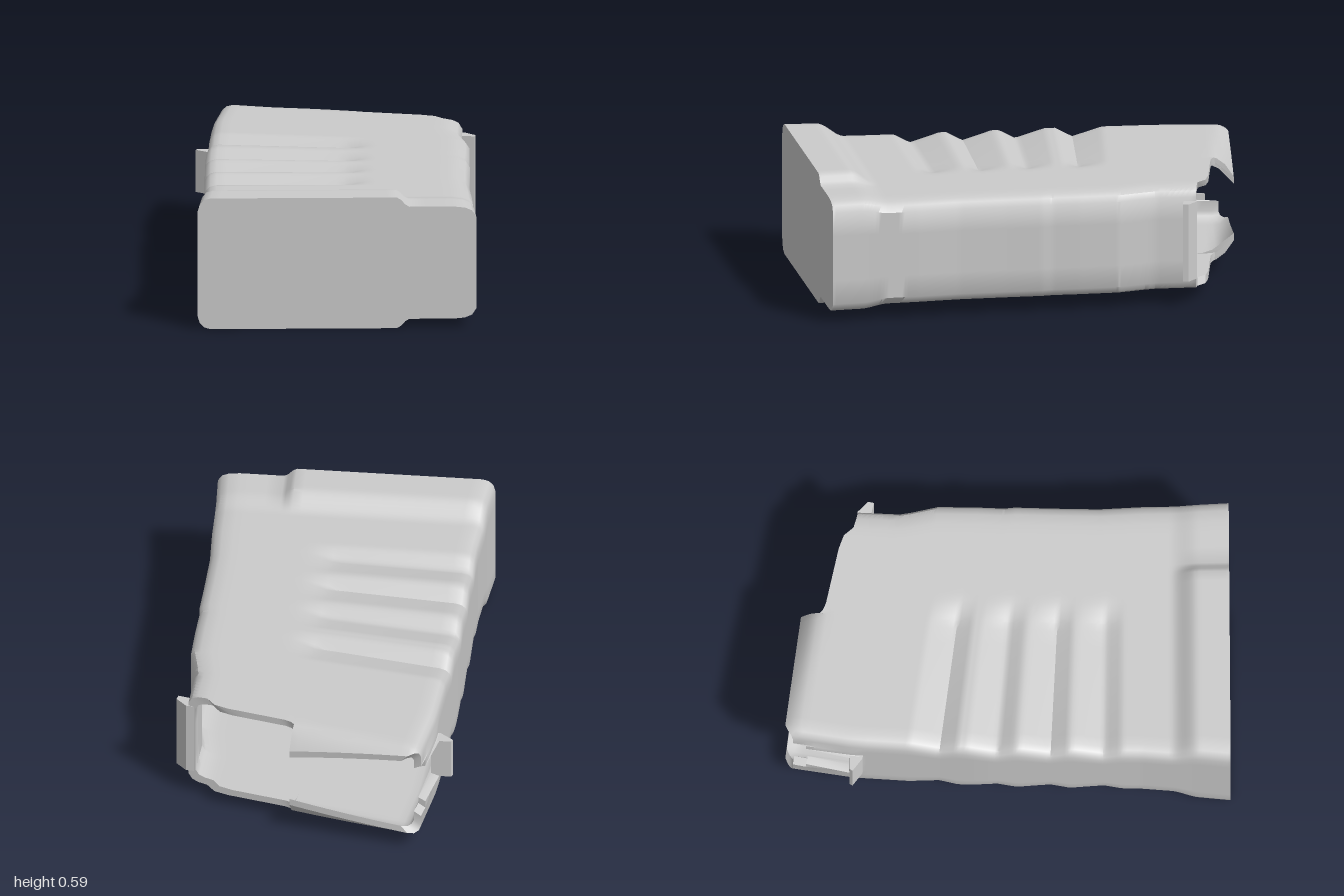
import * as THREE from 'three';
import { toCreasedNormals } from 'three/addons/utils/BufferGeometryUtils.js';

const MID = 0.295; // height of the mirror plane between upper and lower half
const lerp = THREE.MathUtils.lerp;
const smooth = THREE.MathUtils.smoothstep;

// Each row: z and x of the right edge, x and z of the matching left edge
const RAILS = [
  [0.99, -0.43, 0.76, 0.72], [0.82, -0.45, 0.715, 0.56], [0.6, -0.48, 0.665, 0.35],
  [0.4, -0.52, 0.615, 0.17], [0.15, -0.57, 0.575, -0.03], [-0.05, -0.61, 0.545, -0.19],
  [-0.11, -0.62, 0.53, -0.235], [-0.25, -0.64, 0.51, -0.35], [-0.45, -0.67, 0.475, -0.52],
  [-0.65, -0.7, 0.405, -0.67], [-0.85, -0.715, 0.375, -0.85],
];

function railsAt(z) {
  let i = 0;
  while (i < RAILS.length - 2 && z < RAILS[i + 1][0]) i++;
  const a = RAILS[i], b = RAILS[i + 1];
  const t = (z - a[0]) / (b[0] - a[0]);
  return a.map((v, k) => lerp(v, b[k], t));
}

// Half height of the shell: thick front slab, then a body with tapering grip grooves
function halfHeight(u, z) {
  const slab = 1 - smooth(0.99 - z, 0.14, 0.26);
  let h = 0.235 + slab * lerp(0.06, 0.018, smooth(u, 0.715, 0.76));
  const fade = 1 - smooth(u, 0.5, 0.63);
  for (const g of [-0.27, -0.02, 0.21, 0.44]) {
    const d = z - g;
    const cut = d > 0 ? Math.max(0, 1 - d / 0.075) : Math.max(0, 1 + d / 0.13);
    h -= 0.042 * cut * fade * (1 - 0.6 * u);
  }
  return h;
}

// Half outline of a section: [position across, fraction of half height]
const HALF = [[0, 0], [0, 0.4], [0, 0.41], [0, 0.56], [0, 0.58], [0, 0.8], [0.007, 0.9], [0.022, 0.97], [0.045, 1]];
for (const u of [0.08, 0.15, 0.22, 0.3, 0.37, 0.44, 0.5, 0.53, 0.535, 0.55, 0.58, 0.61, 0.64, 0.68, 0.715, 0.73, 0.745, 0.76, 0.82, 0.88, 0.92])
  HALF.push([u, 1]);
HALF.push([0.96, 0.98], [0.985, 0.93], [1, 0.82], [1, 0.4], [1, 0]);
const RING = [...HALF, ...HALF.slice(1, -1).reverse().map(([u, f]) => [u, -f])];

// Where the rear edge ends: side notch, long right lips, short left edge
function rearEdge(u, f) {
  const a = Math.abs(f);
  if (u === 0) return a <= 0.4 ? -0.64 : a < 0.57 ? -0.85 : -0.91;
  if (u <= 0.53) return Math.max(-0.95 - 0.094 * u, -0.91 - 1.2 * u);
  if (u < 0.56) return lerp(-0.92, -0.9, (u - 0.53) / 0.03);
  return lerp(-0.9, -0.855, smooth(u, 0.86, 0.93));
}

function makePoint(u, f, z, q, inner) {
  const [rz, rx, lx, lz] = railsAt(z);
  const uu = inner ? lerp(0.03, 0.97, u) : u;
  const p = new THREE.Vector3(lerp(rx, lx, uu), 0, lerp(rz, lz, uu));
  if (q > 0) {
    const s = railsAt(-0.6);
    p.z = lerp(lerp(s[0], s[3], uu), rearEdge(u, f), q);
  }
  // Rear lips curl inward
  const curl = 9 * Math.max(0, -p.z - 0.9) ** 2;
  p.y = MID + f * (halfHeight(u, z) - (inner ? 0.032 : 0) - curl);
  return p;
}

// Outer skin to the rear rim, then the inner skin back to the front wall
function shellGeometry() {
  const stations = [];
  for (let i = 0; i <= 106; i++) stations.push([0.99 - i * 0.015, 0]);
  for (let i = 1; i <= 10; i++) stations.push([-0.6 - i * 0.025, i / 10]);
  const rings = stations.map(([z, q]) => RING.map(([u, f]) => makePoint(u, f, z, q, false)));
  const inside = stations.filter(([z]) => z < 0.94).reverse();
  for (const [z, q] of inside) rings.push(RING.map(([u, f]) => makePoint(u, f, z, q, true)));

  const n = RING.length, pos = [], index = [];
  for (const ring of rings) for (const p of ring) pos.push(p.x, p.y, p.z);
  for (let r = 0; r < rings.length - 1; r++)
    for (let i = 0; i < n; i++) {
      const j = (i + 1) % n, a = r * n + i, b = r * n + j;
      index.push(a, b, a + n, b, b + n, a + n);
    }
  // Front face and the inner side of the front wall
  const addCap = (start, front) => {
    const c = new THREE.Vector3();
    const ring = rings[start / n];
    c.addVectors(ring[0], ring[HALF.length - 1]).multiplyScalar(0.5);
    const k = pos.length / 3;
    pos.push(c.x, c.y, c.z);
    for (let i = 0; i < n; i++) {
      const a = start + i, b = start + (i + 1) % n;
      index.push(k, front ? b : a, front ? a : b);
    }
  };
  addCap(0, true);
  addCap((rings.length - 1) * n, false);
  const g = new THREE.BufferGeometry();
  g.setAttribute('position', new THREE.Float32BufferAttribute(pos, 3));
  g.setIndex(index);
  return toCreasedNormals(g, 0.6);
}

// Upright prism from a plan outline of [x, z] points
function prism(points, y0, y1) {
  const shape = new THREE.Shape(points.map(([x, z]) => new THREE.Vector2(x, -z)));
  const g = new THREE.ExtrudeGeometry(shape, { depth: y1 - y0, bevelEnabled: false });
  return g.rotateX(-Math.PI / 2).translate(0, y0, 0);
}

export function createModel() {
  const group = new THREE.Group();
  const material = new THREE.MeshStandardMaterial({ color: 0xcccccc, side: THREE.DoubleSide });
  const add = (name, geometry) => {
    const mesh = new THREE.Mesh(geometry, material);
    mesh.name = name;
    group.add(mesh);
  };
  add('hollowShell', shellGeometry());
  // Catch bent out of the right side notch
  add('rightCatch', prism([[-0.68, -0.6], [-0.705, -0.6], [-0.77, -0.63], [-0.765, -0.645], [-0.68, -0.665]], 0.2, 0.39));
  // Flared lip on the left rear edge
  add('leftRearLip', prism([[0.35, -0.8], [0.39, -0.8], [0.44, -0.8], [0.44, -0.825], [0.385, -0.86], [0.35, -0.855]], 0.12, 0.47));
  return group;
}
